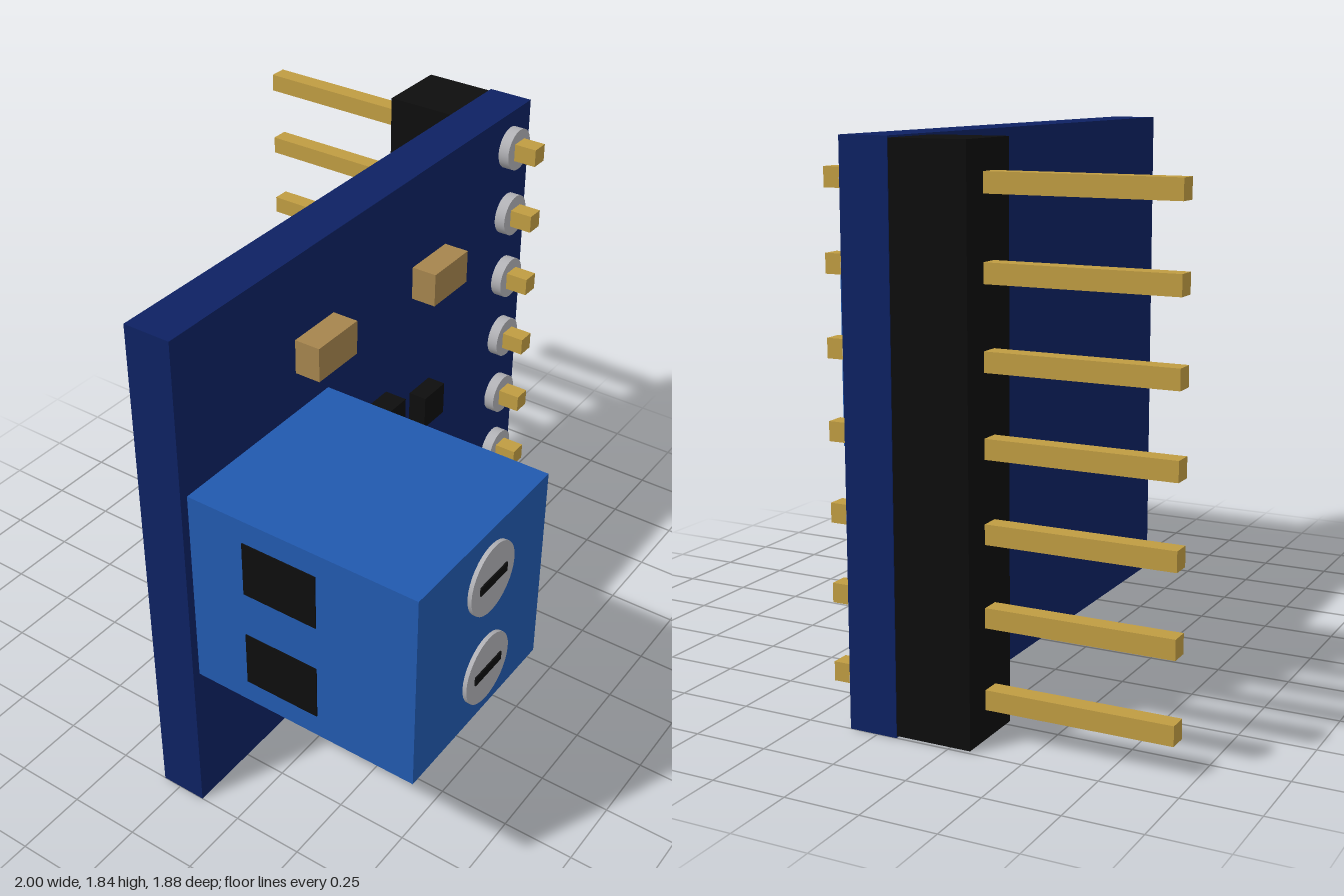
import * as THREE from 'three';

const mat = (name, color) => {
  const m = new THREE.MeshStandardMaterial({ color });
  m.name = name;
  return m;
};

export function createModel() {
  const model = new THREE.Group();
  model.name = 'circuitModule';

  const navy = mat('boardNavy', 0x0d2162);
  const blue = mat('terminalBlue', 0x2159ae);
  const black = mat('plasticBlack', 0x0d0d0d);
  const gold = mat('pinGold', 0xbf9c42);
  const tan = mat('capacitorTan', 0xa5844d);
  const silver = mat('metalSilver', 0xb0b0b4);

  // Box given by its limits on each axis
  const box = (name, material, [x0, x1], [y0, y1], [z0, z1]) => {
    const mesh = new THREE.Mesh(new THREE.BoxGeometry(x1 - x0, y1 - y0, z1 - z0), material);
    mesh.position.set((x0 + x1) / 2, (y0 + y1) / 2, (z0 + z1) / 2);
    mesh.name = name;
    model.add(mesh);
  };
  // Disc facing forward
  const disc = (name, material, radius, x, y, z0, z1) => {
    const geometry = new THREE.CylinderGeometry(radius, radius, z1 - z0, 32).rotateX(Math.PI / 2);
    const mesh = new THREE.Mesh(geometry, material);
    mesh.position.set(x, y, (z0 + z1) / 2);
    mesh.name = name;
    model.add(mesh);
  };

  const face = 0.098; // front of the board
  box('board', navy, [-1, 1], [0, 1.838], [-0.068, face]);

  // Screw terminal with slotted screws and wire openings in its outer side
  box('terminalBlock', blue, [-0.97, -0.25], [0.56, 1.28], [face, 0.922]);
  for (const y of [0.74, 1.1]) {
    disc('terminalScrew', silver, 0.123, -0.58, y, 0.915, 0.936);
    box('screwSlot', black, [-0.655, -0.505], [y - 0.016, y + 0.016], [0.934, 0.941]);
    box('wireOpening', black, [-0.974, -0.968], [y - 0.098, y + 0.098], [0.302, 0.57]);
  }

  // Chips
  box('mainChip', black, [-0.22, 0.093], [0.767, 1.075], [face, 0.18]);
  box('smallChip', black, [0.245, 0.37], [0.86, 0.985], [face, 0.165]);

  // Capacitors
  for (const [x, y] of [[-0.32, 1.488], [0.347, 1.438], [-0.32, 0.354], [0.347, 0.403]]) {
    box('capacitor', tan, [x - 0.103, x + 0.103], [y - 0.061, y + 0.061], [face, 0.19]);
  }

  // Pin header behind the board, with solder rings in front
  box('headerStrip', black, [0.735, 0.997], [0.006, 1.832], [-0.325, -0.068]);
  for (let i = 0; i < 7; i++) {
    const y = 0.134 + i * 0.262;
    disc('solderRing', silver, 0.076, 0.865, y, face, 0.138);
    box('headerPin', gold, [0.833, 0.897], [y - 0.032, y + 0.032], [-0.941, 0.222]);
  }

  return model;
}
